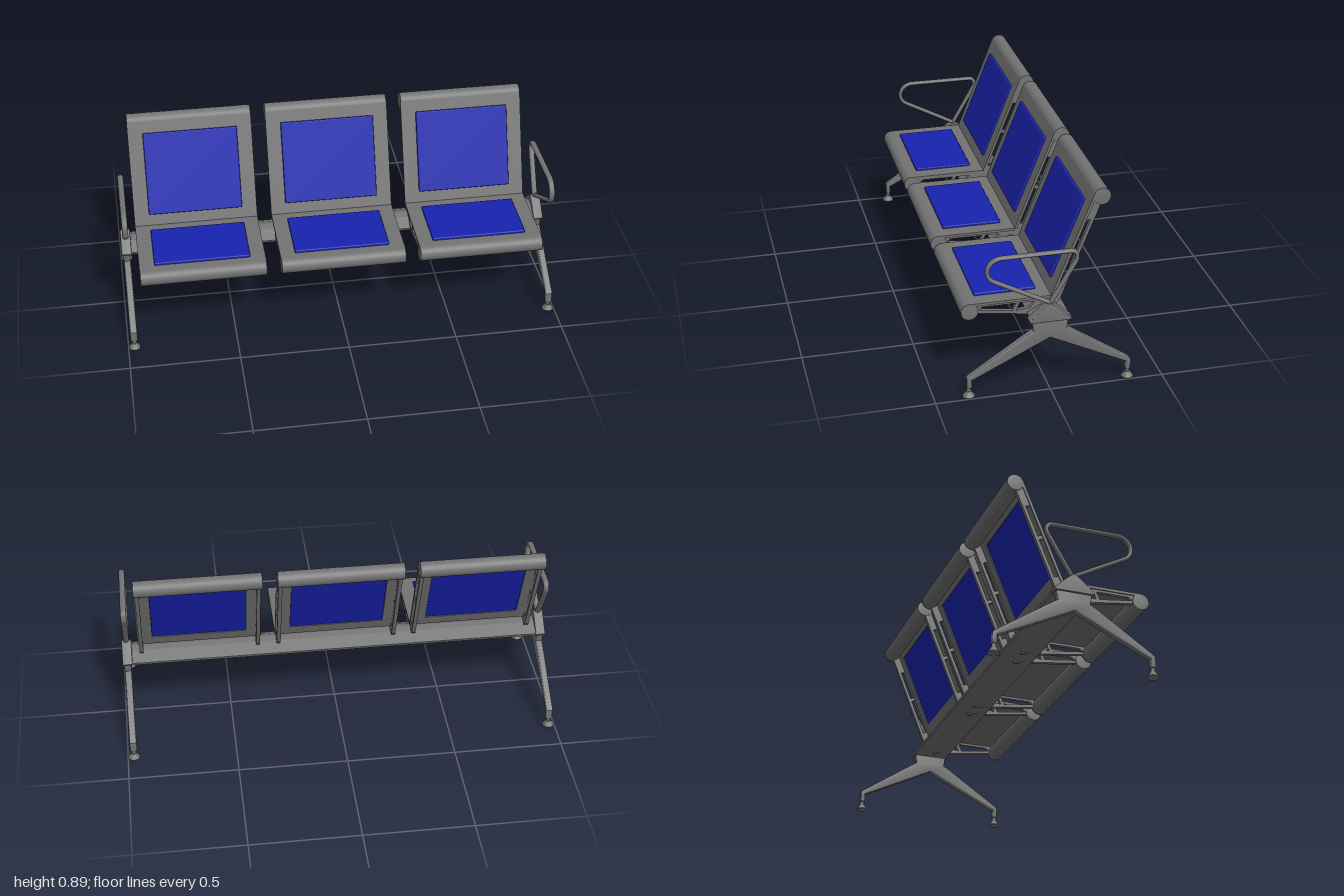
import * as THREE from 'three';
import { RoundedBoxGeometry } from 'three/addons/geometries/RoundedBoxGeometry.js';
import { toCreasedNormals } from 'three/addons/utils/BufferGeometryUtils.js';

const metal = new THREE.MeshStandardMaterial({ color: 0x737373 });
const blue = new THREE.MeshStandardMaterial({ color: 0x1822ae });

const SEAT_W = 0.57;
const PAD_W = 0.433;
const ROLL_R = 0.037;
const PLATE_W = 0.018;
const PLATE_X = 0.27;
const LEG_X = 0.972;

function add(parent, name, geometry, material = metal, x = 0, y = 0, z = 0) {
  const mesh = new THREE.Mesh(geometry, material);
  mesh.name = name;
  mesh.position.set(x, y, z);
  parent.add(mesh);
  return mesh;
}

const points = (list) => list.map(([a, b]) => new THREE.Vector2(a, b));

// Extrudes a side profile of [z, y] points along x, centred on x = 0
function sideProfile(outline, width, holes = [], bevel = 0) {
  const shape = new THREE.Shape(points(outline));
  holes.forEach((h) => shape.holes.push(new THREE.Path(points(h))));
  const depth = width - 2 * bevel;
  const g = new THREE.ExtrudeGeometry(shape, {
    depth, bevelEnabled: bevel > 0, bevelThickness: bevel, bevelSize: bevel,
    bevelOffset: -bevel, bevelSegments: 3,
  });
  g.translate(0, 0, -depth / 2).rotateY(-Math.PI / 2);
  return bevel ? toCreasedNormals(g, 0.6) : g;
}

const rect = (a0, b0, a1, b1) => [[a0, b0], [a1, b0], [a1, b1], [a0, b1]];

// Round bar with softly shaded ends
function roll() {
  const h = SEAT_W / 2;
  return new THREE.LatheGeometry(points([
    [0, -h], [ROLL_R, -h], [ROLL_R, 0.004 - h], [ROLL_R, h - 0.004], [ROLL_R, h], [0, h],
  ]), 32).rotateZ(Math.PI / 2);
}

function createSeat() {
  const seat = new THREE.Group();
  seat.name = 'seat';

  // Flat seat sheet with a rolled front edge and a pad
  add(seat, 'seatPanel', new THREE.BoxGeometry(SEAT_W, 0.012, 0.353), metal, 0, 0.406, 0.1565);
  add(seat, 'seatFrontRoll', roll(), metal, 0, 0.375, 0.333);
  add(seat, 'seatPad', new RoundedBoxGeometry(PAD_W, 0.018, 0.268, 2, 0.005), blue, 0, 0.415, 0.165);

  // Pierced side plates under the seat
  const seatPlate = sideProfile(
    [[0.31, 0.41], [-0.02, 0.41], [-0.06, 0.38], [0, 0.322], [0.09, 0.333], [0.31, 0.364]],
    PLATE_W,
    [
      [[0.277, 0.39], [0.13, 0.39], [0.145, 0.356], [0.296, 0.376]],
      [[0.115, 0.39], [0.05, 0.388], [0.07, 0.363], [0.13, 0.354]],
    ],
  );
  for (const s of [-1, 1]) add(seat, 'seatSidePlate', seatPlate, metal, s * PLATE_X, 0, 0);

  // Reclined back; its front face is the local z = 0 plane
  const back = new THREE.Group();
  back.name = 'backrest';
  back.position.set(0, 0.41, -0.02);
  back.rotation.x = -0.375;
  seat.add(back);

  // Open frame holding the pad, visible from both sides
  const w = SEAT_W / 2, p = PAD_W / 2;
  const frame = new THREE.Shape(points(rect(-w, 0, w, 0.488)));
  frame.holes.push(new THREE.Path(points(rect(-p, 0.054, p, 0.434))));
  const frameGeo = new THREE.ExtrudeGeometry(frame, { depth: 0.012, bevelEnabled: false });
  add(back, 'backFrame', frameGeo, metal, 0, 0, -0.012);
  add(back, 'backPad', new RoundedBoxGeometry(PAD_W, 0.382, 0.022, 2, 0.005), blue, 0, 0.244, 0.001);
  add(back, 'backTopRoll', roll(), metal, 0, 0.488, -ROLL_R);

  const backPlate = sideProfile(rect(-0.046, -0.015, 0, 0.47), PLATE_W, [
    rect(-0.032, 0.03, -0.013, 0.21),
    rect(-0.032, 0.226, -0.013, 0.372),
  ]);
  for (const s of [-1, 1]) add(back, 'backSidePlate', backPlate, metal, s * PLATE_X, 0, 0);
  return seat;
}

function createEnd() {
  const end = new THREE.Group();
  end.name = 'endSupport';

  // Peaked bracket closing the beam
  add(end, 'endBracket', sideProfile(
    [[0, 0.415], [-0.03, 0.393], [-0.092, 0.338], [-0.088, 0.328], [0.088, 0.328], [0.092, 0.338], [0.03, 0.393]],
    0.046, [], 0.003));

  // Splayed legs in one piece, mirrored front to back
  const half = [[0.08, 0.33], [0.073, 0.286], [0.1, 0.27], [0.352, 0.1], [0.361, 0.09],
    [0.361, 0.042], [0.339, 0.042], [0.339, 0.081]];
  const mirrored = half.map(([z, y]) => [-z, y]).reverse();
  add(end, 'legs', sideProfile([...half, [0, 0.247], ...mirrored], 0.032, [], 0.006));

  // Levelling feet
  const foot = new THREE.LatheGeometry(points([
    [0, 0], [0.027, 0], [0.027, 0.003], [0.017, 0.016], [0.012, 0.026], [0.009, 0.027], [0.009, 0.046],
  ]), 24);
  for (const s of [-1, 1]) add(end, 'foot', toCreasedNormals(foot, 0.5), metal, 0, 0, s * 0.351);

  // Looped armrest: straight runs joined by curves, oval in section
  const v = (z, y) => new THREE.Vector3(0, y, z);
  const path = new THREE.CurvePath();
  const line = (a, b) => path.add(new THREE.LineCurve3(a, b));
  const bend = (a, c1, c2, b) => path.add(new THREE.CubicBezierCurve3(a, c1, c2, b));
  line(v(0, 0.41), v(0.243, 0.539));
  bend(v(0.243, 0.539), v(0.292, 0.567), v(0.272, 0.644), v(0.207, 0.644));
  line(v(0.207, 0.644), v(-0.085, 0.644));
  bend(v(-0.085, 0.644), v(-0.112, 0.644), v(-0.122, 0.622), v(-0.11, 0.595));
  line(v(-0.11, 0.595), v(0, 0.405));
  const arm = add(end, 'armrest', new THREE.TubeGeometry(path, 120, 0.009, 14, false));
  arm.scale.x = 1.5;
  return end;
}

export function createModel() {
  const bench = new THREE.Group();
  bench.name = 'bench';

  // Shared beam with a low ridge
  add(bench, 'beam', sideProfile(
    [[0, 0.378], [-0.03, 0.37], [-0.088, 0.34], [-0.085, 0.328], [0.08, 0.328], [0.084, 0.34], [0.03, 0.37]],
    2 * LEG_X));

  for (const i of [-1, 0, 1]) {
    const seat = createSeat();
    seat.position.x = i * 0.636 - 0.002;
    bench.add(seat);
  }
  for (const s of [-1, 1]) {
    const end = createEnd();
    end.position.x = s * LEG_X;
    bench.add(end);
  }
  return bench;
}
